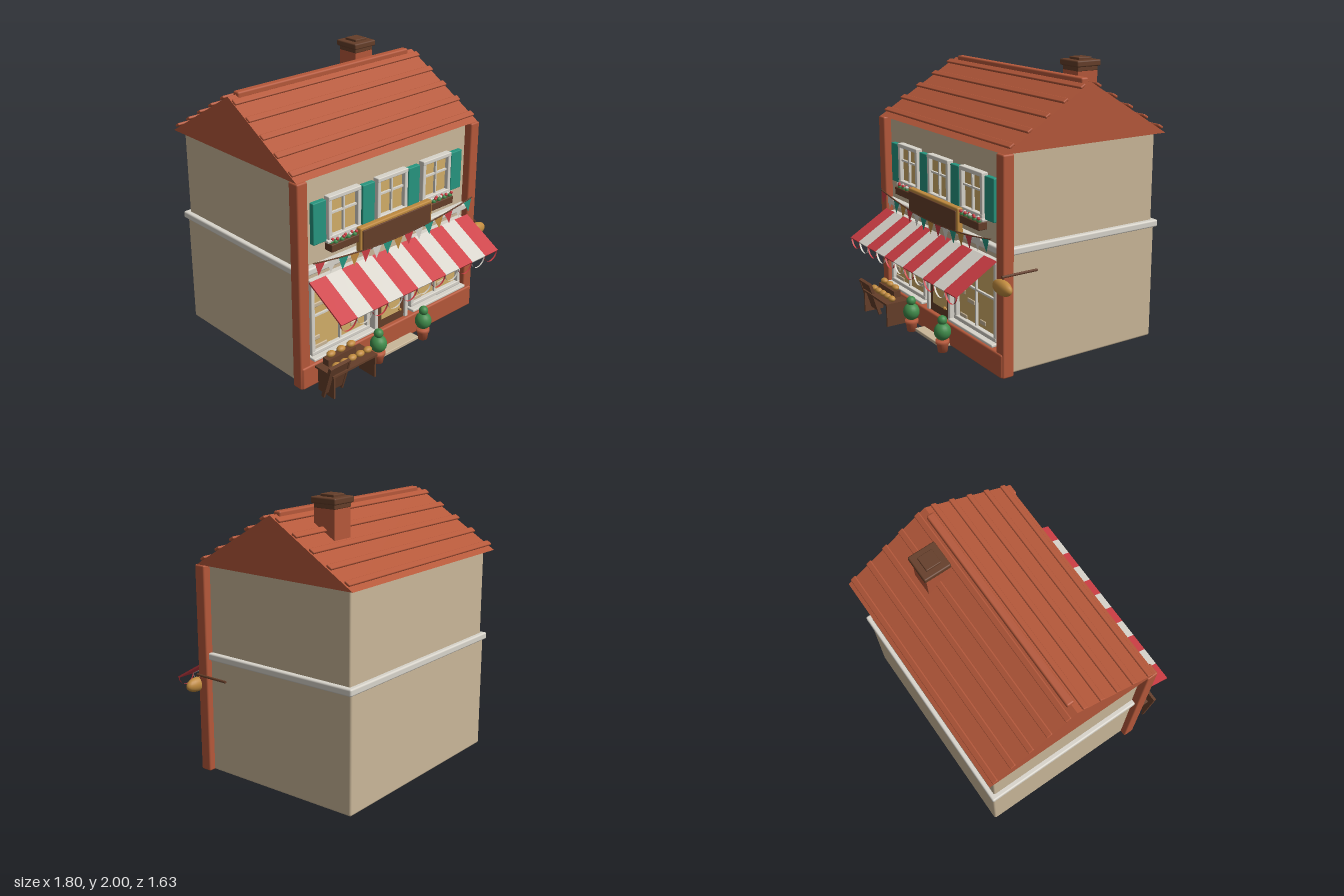
import * as THREE from 'three';
import { RoundedBoxGeometry } from 'three/addons/geometries/RoundedBoxGeometry.js';

const paint = (name, color, side = THREE.FrontSide) => {
  const m = new THREE.MeshStandardMaterial({ color, side });
  m.name = name;
  return m;
};

export function createModel() {
  const terracotta = paint('terracotta', 0xb5583a);
  const plaster = paint('plaster', 0xcab799);
  const trim = paint('trim', 0xd8d4cb, THREE.DoubleSide);
  const wood = paint('darkWood', 0x653e29);
  const glass = paint('warmGlass', 0xd2ae68);
  const crust = paint('goldenCrust', 0xbf8a3e, THREE.DoubleSide);
  const red = paint('red', 0xcc3d44, THREE.DoubleSide);
  const teal = paint('teal', 0x26957f, THREE.DoubleSide);
  const leaf = paint('leaf', 0x3f8a4a);

  const model = new THREE.Group();
  const shop = new THREE.Group();
  shop.name = 'bakery';
  shop.position.x = -0.05; // the hanging loaf makes the right side longer
  model.add(shop);

  const add = (name, geo, mat, x = 0, y = 0, z = 0, parent = shop) => {
    const mesh = new THREE.Mesh(geo, mat);
    mesh.name = name;
    mesh.position.set(x, y, z);
    parent.add(mesh);
    return mesh;
  };
  // Boxes are given by their limits: [min, max] on y and z, centre and width on x
  const box = (name, mat, x, w, [y0, y1], [z0, z1], r = 0, parent = shop) => {
    const h = y1 - y0, d = z1 - z0;
    const geo = r ? new RoundedBoxGeometry(w, h, d, 2, r) : new THREE.BoxGeometry(w, h, d);
    return add(name, geo, mat, x, (y0 + y1) / 2, (z0 + z1) / 2, parent);
  };
  const ball = (name, mat, x, y, z, rx, ry = rx, rz = rx) => {
    const m = add(name, new THREE.SphereGeometry(1, 20, 14), mat, x, y, z);
    m.scale.set(rx, ry, rz);
    return m;
  };

  // Walls, band, pillars and plinth
  box('lowerWalls', plaster, 0, 1.6, [0.01, 0.85], [-0.775, 0.46], 0.015);
  box('upperWalls', plaster, 0, 1.58, [0.82, 1.5], [-0.757, 0.455], 0.012);
  box('floorBand', trim, 0, 1.65, [0.825, 0.875], [-0.79, 0.5], 0.012);
  for (const s of [-1, 1]) box('cornerPillar', terracotta, s * 0.805, 0.085, [0.01, 1.49], [0.43, 0.515], 0.012);
  box('plinth', terracotta, 0, 1.675, [0.012, 0.175], [0.44, 0.525], 0.012);
  box('doorStep', plaster, 0, 0.37, [0.01, 0.035], [0.5, 0.6], 0.005);

  // Gable roof with rows of tile laths
  const ridgeY = 1.885, eaveY = 1.49, ridgeZ = -0.16, frontZ = 0.5, backZ = -0.81;
  const gable = new THREE.Shape([
    new THREE.Vector2(-frontZ, eaveY), new THREE.Vector2(-backZ, eaveY), new THREE.Vector2(-ridgeZ, ridgeY)]);
  const roof = add('roof', new THREE.ExtrudeGeometry(gable, { depth: 1.68, bevelEnabled: false }), terracotta, -0.84);
  roof.rotation.y = Math.PI / 2;
  const pitch = Math.atan2(ridgeY - eaveY, frontZ - ridgeZ);
  for (const s of [-1, 1]) for (let i = 0; i < 5; i++) {
    const run = 0.064 + i * 0.1355;
    const lath = add('tileRow', new RoundedBoxGeometry(1.685, 0.018, 0.045, 2, 0.007), terracotta,
      0, ridgeY - run * Math.tan(pitch) + 0.015, ridgeZ + s * run);
    lath.rotation.x = s * pitch;
  }
  box('ridgeCap', terracotta, 0, 1.55, [1.86, 1.905], [-0.19, -0.133], 0.012);

  // Chimney
  box('chimneyStack', terracotta, 0.465, 0.165, [1.6, 1.92], [-0.442, -0.277]);
  box('chimneyCollar', wood, 0.465, 0.17, [1.91, 1.945], [-0.445, -0.275], 0.006);
  box('chimneyCap', wood, 0.465, 0.2, [1.94, 1.983], [-0.46, -0.26], 0.01);
  box('chimneyPot', wood, 0.465, 0.11, [1.975, 2.0], [-0.415, -0.305], 0.005);

  // Framed window with one cross of glazing bars
  const windowAt = (x, w, y0, y1, barY, f) => {
    box('windowGlass', glass, x, w - f, [y0 + f / 2, y1 - f / 2], [0.45, 0.47]);
    for (const s of [-1, 1]) box('windowJamb', trim, x + s * (w - f) / 2, f, [y0, y1], [0.45, 0.5], 0.006);
    box('windowHead', trim, x, w, [y1 - f, y1], [0.45, 0.502], 0.006);
    box('windowFoot', trim, x, w, [y0, y0 + f], [0.45, 0.502], 0.006);
    box('windowBar', trim, x, 0.013, [y0, y1], [0.46, 0.488]);
    box('windowBar', trim, x, w - f, [barY - 0.0065, barY + 0.0065], [0.46, 0.486]);
  };
  for (const x of [-0.435, 0, 0.435]) {
    windowAt(x, 0.285, 1.02, 1.325, 1.2, 0.03);
    box('windowSill', trim, x, 0.32, [1.005, 1.025], [0.45, 0.51], 0.005);
  }
  for (const x of [-0.645, -0.215, 0.215, 0.645])
    box('shutter', teal, x, 0.11, [1.02, 1.31], [0.45, 0.49], 0.006);
  for (const s of [-1, 1]) {
    windowAt(s * 0.47, 0.53, 0.22, 0.78, 0.505, 0.03);
    box('shopSill', trim, s * 0.47, 0.56, [0.2, 0.22], [0.45, 0.54], 0.006);
  }

  // Exposed stones: x, y, width
  for (const [x, y, w] of [[-0.4, 0.57, 0.13], [-0.64, 0.578, 0.12], [-0.395, 0.525, 0.1], [-0.335, 0.425, 0.16],
    [-0.27, 0.38, 0.07], [-0.68, 0.33, 0.07], [-0.64, 0.26, 0.12], [-0.33, 0.305, 0.07], [0.39, 0.395, 0.09],
    [0.27, 0.435, 0.09], [0.54, 0.29, 0.07], [0.29, 0.26, 0.09]])
    box('wallStone', plaster, x, w, [y - 0.016, y + 0.016], [0.45, 0.478], 0.006);

  // Door
  for (const s of [-1, 1]) box('doorJamb', trim, s * 0.15, 0.03, [0.175, 0.565], [0.45, 0.51], 0.006);
  box('doorHead', trim, 0, 0.33, [0.535, 0.565], [0.45, 0.512], 0.006);
  box('door', wood, 0, 0.27, [0.17, 0.537], [0.45, 0.492]);
  box('doorGlass', glass, 0, 0.185, [0.24, 0.485], [0.488, 0.497]);
  ball('doorKnob', crust, 0.085, 0.255, 0.505, 0.012);

  // Striped awning with open scallop hoops
  const stripe = 1.525 / 11;
  const slope = Math.atan2(0.18, 0.3);
  for (let i = 0; i < 11; i++) {
    const x = (i - 5) * stripe, mat = i % 2 ? trim : red;
    const cloth = add('awningStripe', new THREE.BoxGeometry(stripe, 0.012, 0.352), mat, x, 0.697, 0.663);
    cloth.rotation.x = slope;
    const hoop = new THREE.CylinderGeometry(stripe / 2, stripe / 2, 0.012, 16, 1, true, -Math.PI / 2, Math.PI);
    hoop.rotateX(Math.PI / 2);
    add('awningScallop', hoop, mat, x, 0.612, 0.806);
  }

  // Sign board
  box('signFrame', crust, 0, 0.685, [0.865, 1.045], [0.5, 0.545], 0.01);
  box('signPanel', wood, 0, 0.65, [0.87, 1.025], [0.53, 0.553], 0.005);

  // Flower boxes
  for (const x of [-0.435, 0.435]) {
    box('flowerBox', wood, x, 0.29, [0.945, 1.0], [0.46, 0.53], 0.006);
    for (let i = 0; i < 10; i++) {
      const fx = x - 0.125 + i * 0.0278, z = 0.495 + (i % 2) * 0.015;
      ball('flowerLeaves', leaf, fx, 1.006, z, 0.018);
      ball('blossom', i % 3 === 2 ? trim : red, fx + 0.008, 1.025, z + 0.01, 0.011);
    }
  }

  // Bunting
  const ropeY = x => 0.872 + 0.068 * (x / 0.7625) ** 2;
  const ropePoints = Array.from({ length: 13 }, (_, i) => {
    const x = (i - 6) / 6 * 0.7625;
    return new THREE.Vector3(x, ropeY(x), 0.55);
  });
  add('buntingRope', new THREE.TubeGeometry(new THREE.CatmullRomCurve3(ropePoints), 40, 0.005, 6), wood);
  const pennant = new THREE.ShapeGeometry(new THREE.Shape([
    new THREE.Vector2(-0.042, 0), new THREE.Vector2(0, -0.088), new THREE.Vector2(0.042, 0)]));
  const flagColours = [red, trim, teal, crust];
  for (let i = 0; i < 15; i++) {
    const x = (i - 7) * 0.101;
    const flag = add('buntingFlag', pennant, flagColours[i % 4], x, ropeY(x), 0.558);
    flag.rotation.z = Math.atan(0.136 * x / 0.7625 ** 2);
  }

  // Lanterns and potted topiaries beside the door
  for (const s of [-1, 1]) {
    const x = s * 0.225;
    box('lanternArm', wood, x, 0.014, [0.55, 0.562], [0.45, 0.55]);
    add('lanternRoof', new THREE.ConeGeometry(0.032, 0.03, 12), wood, x, 0.55, 0.545);
    add('lanternTip', new THREE.CylinderGeometry(0.006, 0.006, 0.03, 8), wood, x, 0.565, 0.545);
    add('lanternLight', new THREE.CylinderGeometry(0.021, 0.018, 0.07, 12), glass, x, 0.5, 0.545);
    add('lanternBase', new THREE.CylinderGeometry(0.023, 0.023, 0.01, 12), wood, x, 0.465, 0.545);

    const pot = [[0, 0], [0.034, 0], [0.042, 0.06], [0.049, 0.062], [0.049, 0.085], [0, 0.085]];
    add('plantPot', new THREE.LatheGeometry(pot.map(p => new THREE.Vector2(...p)), 18), terracotta, x, 0.005, 0.605);
    ball('topiaryLower', leaf, x, 0.152, 0.605, 0.06, 0.063, 0.06);
    ball('topiaryUpper', leaf, x, 0.234, 0.605, 0.034);
  }

  // Bread table
  box('tableTop', wood, -0.56, 0.4, [0.172, 0.187], [0.555, 0.735]);
  for (const s of [-1, 1]) box('tableEnd', wood, -0.56 + s * 0.185, 0.014, [0.01, 0.175], [0.575, 0.73]);
  box('breadRiser', wood, -0.58, 0.25, [0.187, 0.235], [0.57, 0.625]);
  for (let i = 0; i < 5; i++) ball('loaf', crust, -0.68 + i * 0.071, 0.21, 0.675, 0.034, 0.022, 0.026);
  for (let i = 0; i < 3; i++) ball('loaf', crust, -0.66 + i * 0.09, 0.258, 0.6, 0.034, 0.022, 0.026);

  // Leaning menu board
  const board = new THREE.Group();
  board.name = 'menuBoard';
  board.position.set(-0.705, 0.138, 0.7);
  board.rotation.x = 0.3;
  shop.add(board);
  box('menuPanel', wood, 0, 0.16, [-0.1, 0.125], [-0.008, 0.008], 0, board);
  for (const s of [-1, 1]) box('menuPost', wood, s * 0.08, 0.016, [-0.13, 0.13], [-0.012, 0.012], 0, board);
  box('menuRail', wood, 0, 0.175, [0.115, 0.13], [-0.012, 0.012], 0, board);

  // Hanging loaf on a pole
  const pole = add('signPole', new THREE.CylinderGeometry(0.009, 0.009, 0.27, 10), wood, 0.848, 0.71, 0.39);
  pole.rotation.x = Math.PI / 2;
  add('signLink', new THREE.CylinderGeometry(0.004, 0.004, 0.05, 6), wood, 0.848, 0.695, 0.518);
  ball('hangingLoaf', crust, 0.853, 0.642, 0.525, 0.097, 0.052, 0.042);

  return model;
}
